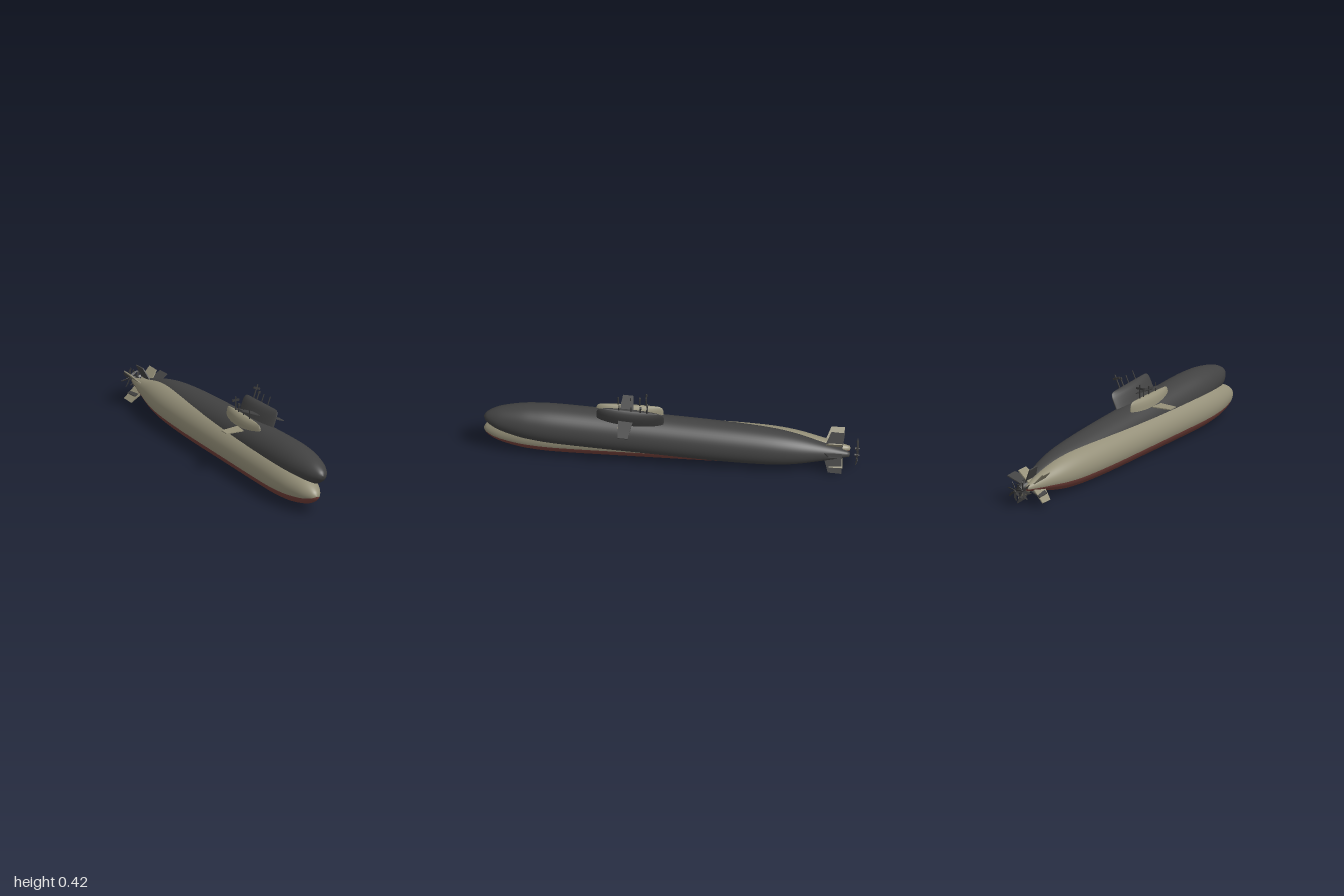
import * as THREE from 'three';

const mat = (name, color, side = THREE.FrontSide) => {
  const m = new THREE.MeshStandardMaterial({ color, side });
  m.name = name;
  return m;
};

const add = (parent, name, geometry, material) => {
  const mesh = new THREE.Mesh(geometry, material);
  mesh.name = name;
  parent.add(mesh);
  return mesh;
};

// Hull radius along z, from tail to nose
const profile = new THREE.SplineCurve([
  [0.013, -0.945], [0.036, -0.86], [0.055, -0.78], [0.08, -0.67], [0.096, -0.55], [0.104, -0.4],
  [0.108, -0.2], [0.108, 0.1], [0.108, 0.45], [0.106, 0.63], [0.1, 0.73], [0.09, 0.81],
  [0.069, 0.9], [0.049, 0.95], [0.025, 0.985], [0.002, 0.998],
].map(([r, z]) => new THREE.Vector2(r, z))).getPoints(64);
profile.unshift(new THREE.Vector2(0, -0.948));
profile.push(new THREE.Vector2(0, 0.998));

// A sector of the hull; angle 0 is the keel
function hullSector(from, to) {
  const d = Math.PI / 180;
  return new THREE.LatheGeometry(profile, Math.round((to - from) / 7), from * d, (to - from) * d)
    .rotateX(Math.PI / 2);
}

// Thin plate lying flat: points are [span along x, position along z]
function plate(points, thickness) {
  const shape = new THREE.Shape(points.map(([x, z]) => new THREE.Vector2(x, z)));
  return new THREE.ExtrudeGeometry(shape, { depth: thickness, bevelEnabled: false })
    .rotateX(Math.PI / 2).translate(0, thickness / 2, 0);
}

// Sail lofted from lens-shaped sections: [height, half width, rear z, front z]
function sailGeometry() {
  const levels = [
    [0.07, 0.031, 0.045, 0.4], [0.13, 0.031, 0.044, 0.402], [0.16, 0.029, 0.044, 0.402],
    [0.178, 0.025, 0.046, 0.4], [0.19, 0.018, 0.052, 0.395], [0.198, 0.009, 0.064, 0.383],
    [0.2, 0.003, 0.08, 0.365],
  ];
  const n = 32, pos = [], index = [];
  for (const [y, w, z0, z1] of levels) {
    for (let j = 0; j < n; j++) {
      const t = (j / n) * Math.PI * 2, s = Math.sin(t);
      pos.push(w * s * Math.pow(Math.abs(s), 0.25), y, (z0 + z1) / 2 + ((z1 - z0) / 2) * Math.cos(t));
    }
  }
  for (let i = 0; i < levels.length - 1; i++) {
    for (let j = 0; j < n; j++) {
      const k = (j + 1) % n, a = i * n + j, b = i * n + k;
      index.push(a, b, b + n, a, b + n, a + n);
    }
  }
  const top = (levels.length - 1) * n, centre = pos.length / 3;
  pos.push(0, 0.2, 0.222);
  for (let j = 0; j < n; j++) index.push(top + j, top + ((j + 1) % n), centre);
  const g = new THREE.BufferGeometry();
  g.setAttribute('position', new THREE.Float32BufferAttribute(pos, 3));
  g.setIndex(index);
  g.computeVertexNormals();
  return g;
}

function propeller(material) {
  const group = new THREE.Group();
  group.name = 'propeller';
  const hub = new THREE.CylinderGeometry(0.008, 0.004, 0.026, 16).rotateX(Math.PI / 2);
  add(group, 'propellerHub', hub, material);
  // Curved blades, pitched about their span
  const blade = plate([
    [0.004, -0.005], [0.02, -0.009], [0.038, -0.007], [0.056, 0.003],
    [0.054, 0.008], [0.038, 0.005], [0.02, 0.005], [0.004, 0.005],
  ], 0.002).rotateX(Math.PI / 3.2);
  const count = 7;
  for (let i = 0; i < count; i++) {
    add(group, 'propellerBlade', blade, material).rotation.z = Math.PI / 2 + (i / count) * Math.PI * 2;
  }
  group.position.z = -0.986;
  return group;
}

function submarine(name, upper, lower, fittings) {
  const sub = new THREE.Group();
  sub.name = name;

  // Hull with its lower sector in a second colour
  add(sub, 'upperHull', hullSector(70, 290), upper);
  add(sub, 'lowerHull', hullSector(-70, 70), lower);

  add(sub, 'sail', sailGeometry(), upper);

  // Sail planes, mirrored
  for (const side of [1, -1]) {
    const g = plate(side > 0
      ? [[0.015, 0.205], [0.135, 0.222], [0.135, 0.276], [0.015, 0.285]]
      : [[-0.015, 0.285], [-0.135, 0.276], [-0.135, 0.222], [-0.015, 0.205]], 0.005);
    add(sub, 'sailPlane', g, upper).position.y = 0.137;
  }

  // X-shaped tail fins
  const fin = plate([[0.015, -0.905], [0.11, -0.912], [0.11, -0.84], [0.06, -0.822], [0.015, -0.805]], 0.006);
  for (let i = 0; i < 4; i++) {
    add(sub, 'tailFin', fin, upper).rotation.z = Math.PI / 4 + (i * Math.PI) / 2;
  }

  // Masts: [z, top height, radius]
  for (const [z, top, r] of [[0.285, 0.247, 0.003], [0.22, 0.245, 0.003], [0.17, 0.245, 0.004], [0.135, 0.275, 0.004]]) {
    const h = top - 0.18;
    add(sub, 'mast', new THREE.CylinderGeometry(r, r, h, 10), fittings).position.set(0, 0.18 + h / 2, z);
  }
  add(sub, 'mastCrossbar', new THREE.BoxGeometry(0.042, 0.011, 0.006), fittings).position.set(0, 0.254, 0.135);
  add(sub, 'mastHead', new THREE.BoxGeometry(0.012, 0.012, 0.01), fittings).position.set(0, 0.241, 0.17);

  sub.add(propeller(fittings));
  return sub;
}

export function createModel() {
  const charcoal = mat('charcoal', 0x424242);
  const khaki = mat('khaki', 0x959079);
  const rust = mat('rustRed', 0x74403a);
  const fittings = mat('darkFittings', 0x383838);

  const model = new THREE.Group();
  model.name = 'submarines';

  // Level submarine
  const level = submarine('levelSubmarine', khaki, rust, fittings);
  level.position.set(-0.043, 0.11, 0);
  model.add(level);

  // Second submarine, rolled to its left with the bow raised
  const rolled = submarine('rolledSubmarine', charcoal, charcoal, fittings);
  rolled.position.set(0, 0.157, -0.003);
  rolled.rotation.set(-0.0587, 0, -0.384);
  model.add(rolled);

  return model;
}
